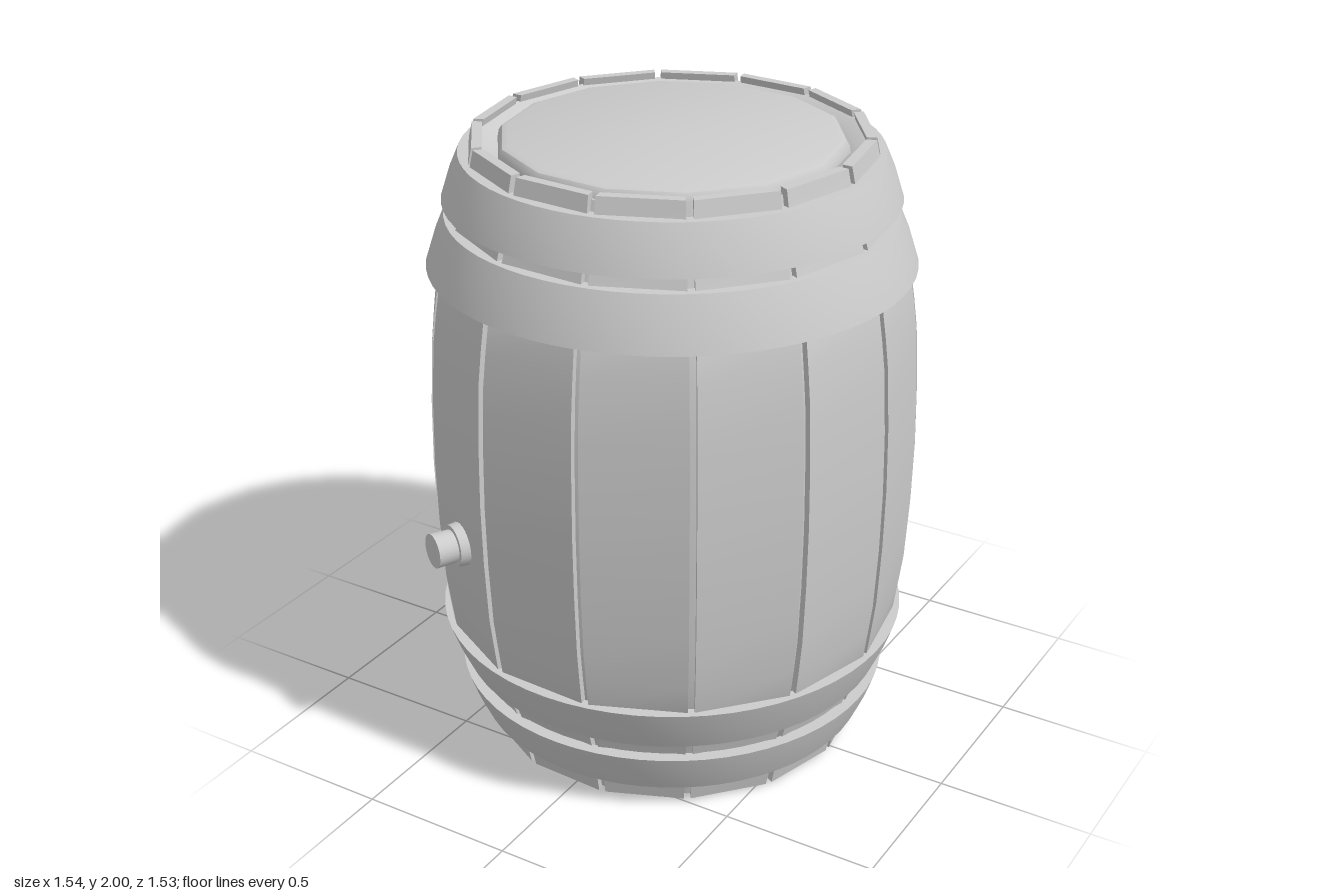
import * as THREE from 'three';
import { toCreasedNormals } from 'three/addons/utils/BufferGeometryUtils.js';

const STAVES = 14;
const STEP = (Math.PI * 2) / STAVES;
const SEAM = THREE.MathUtils.degToRad(87); // direction of the first seam between staves
const material = new THREE.MeshStandardMaterial({ color: 0xcccccc });

// corner radius of the barrel by height, mirrored about the belly
const BULGE = [[0, 0.61], [0.08, 0.627], [0.24, 0.67], [0.41, 0.732], [0.6, 0.757], [0.8, 0.768], [1, 0.772]];
function radiusAt(y) {
  const h = Math.min(y, 2 - y);
  for (let i = 1; i < BULGE.length; i++) {
    const [y0, r0] = BULGE[i - 1], [y1, r1] = BULGE[i];
    if (h <= y1) return THREE.MathUtils.mapLinear(h, y0, y1, r0, r1);
  }
  return 0.772;
}

function addMesh(parent, name, geometry) {
  const mesh = new THREE.Mesh(geometry, material);
  mesh.name = name;
  parent.add(mesh);
  return mesh;
}

const lathe = (points, sides, start = 0) => toCreasedNormals(
  new THREE.LatheGeometry(points.map(([r, y]) => new THREE.Vector2(r, y)), sides, start), 0.6);

// flat plank bent to the bulge
function staveGeometry() {
  const geometry = new THREE.BoxGeometry(1, 1.99, 1, 1, 20, 1);
  const p = geometry.attributes.position;
  for (let i = 0; i < p.count; i++) {
    const y = p.getY(i) + 1.005;
    const r = radiusAt(y) - (p.getZ(i) < 0 ? 0.032 : 0);
    const halfWidth = r * Math.sin(STEP / 2) - 0.011;
    p.setXYZ(i, Math.sign(p.getX(i)) * halfWidth, y, r * Math.cos(STEP / 2));
  }
  geometry.computeVertexNormals();
  return geometry;
}

// inner body closing the seams, with grooved rims and rounded lids
function coreGeometry() {
  const end = [[0, 0], [0.5, 0], [0.518, 0.006], [0.528, 0.02], [0.532, 0.04], [0.55, 0.028], [0.59, 0.015]];
  const side = [];
  for (let i = 1; i < 20; i++) side.push([radiusAt(i * 0.1) - 0.025, i * 0.1]);
  const top = end.map(([r, y]) => [r, 1.995 - y]).reverse();
  return lathe([...end, ...side, ...top], STAVES, SEAM);
}

export function createModel() {
  const barrel = new THREE.Group();
  barrel.name = 'barrel';

  addMesh(barrel, 'innerBodyAndLids', coreGeometry());

  const staves = new THREE.Group();
  staves.name = 'staves';
  barrel.add(staves);
  const plank = staveGeometry();
  for (let i = 0; i < STAVES; i++) {
    addMesh(staves, 'stave', plank).rotation.y = SEAM + (i + 0.5) * STEP;
  }

  // hoops: lower edge and upper edge as [radius, height]
  const hoops = [
    ['bottomHoop', [0.64, 0.075], [0.695, 0.215]],
    ['lowerHoop', [0.69, 0.265], [0.75, 0.415]],
    ['upperHoop', [0.75, 1.6], [0.69, 1.76]],
    ['topHoop', [0.695, 1.805], [0.64, 1.95]],
  ];
  for (const [name, [r0, y0], [r1, y1]] of hoops) {
    const mid = [(r0 + r1) / 2 + 0.004, (y0 + y1) / 2];
    addMesh(barrel, name, lathe(
      [[r0 - 0.04, y0], [r0, y0], mid, [r1, y1], [r1 - 0.04, y1], [r0 - 0.04, y0]], 64));
  }

  // bung on the front right stave
  const bung = new THREE.Group();
  bung.name = 'bung';
  bung.position.y = 0.8;
  bung.rotation.y = THREE.MathUtils.degToRad(-28.7);
  barrel.add(bung);
  const collar = addMesh(bung, 'bungCollar', new THREE.CylinderGeometry(0.066, 0.072, 0.06, 24));
  const plug = addMesh(bung, 'bungPlug', new THREE.CylinderGeometry(0.055, 0.05, 0.12, 24));
  collar.position.z = 0.75;
  plug.position.z = 0.785;
  collar.rotation.x = plug.rotation.x = Math.PI / 2;

  return barrel;
}
